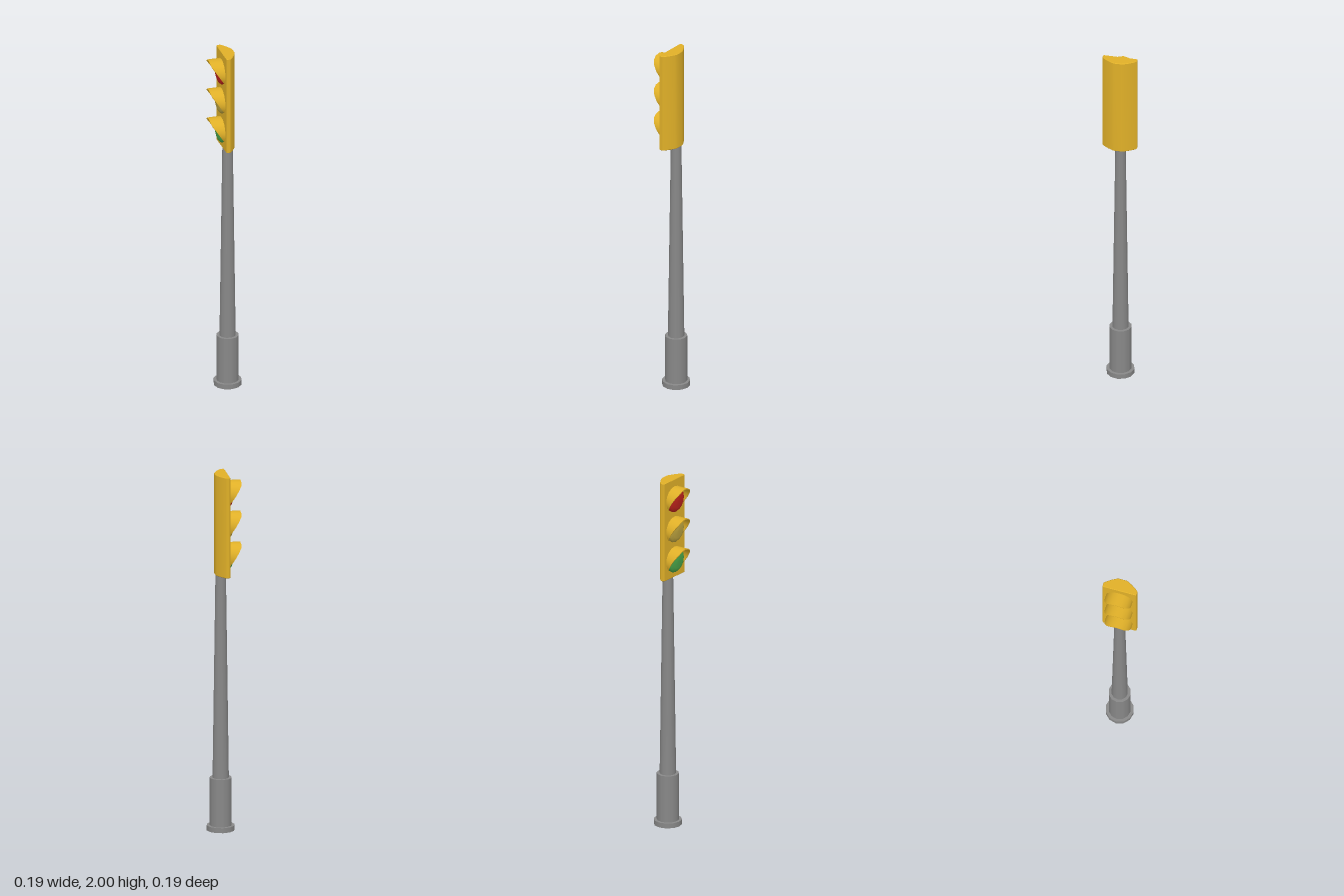
import * as THREE from 'three';
import { toCreasedNormals } from 'three/addons/utils/BufferGeometryUtils.js';

const paint = (name, color, side = THREE.FrontSide) => {
  const m = new THREE.MeshStandardMaterial({ color, side });
  m.name = name;
  return m;
};

// Smooth ribbon joining two rows of points
function strip(a, b) {
  const pos = [], index = [];
  a.forEach((p, i) => {
    pos.push(...p, ...b[i]);
    if (i) {
      const k = 2 * i;
      index.push(k - 2, k - 1, k, k, k - 1, k + 1);
    }
  });
  const g = new THREE.BufferGeometry();
  g.setAttribute('position', new THREE.Float32BufferAttribute(pos, 3));
  g.setIndex(index);
  g.computeVertexNormals();
  return g;
}

export function createModel() {
  const model = new THREE.Group();
  model.name = 'trafficLight';
  const yellow = paint('housing yellow', 0xe0b028, THREE.DoubleSide);
  const grey = paint('pole grey', 0x888888);
  const lensPaints = [
    paint('red lens', 0xc0241c),
    paint('amber lens', 0xbfa53f),
    paint('green lens', 0x4ba84a),
  ];
  const add = (parent, name, geometry, material) => {
    const mesh = new THREE.Mesh(geometry, material);
    mesh.name = name;
    parent.add(mesh);
    return mesh;
  };

  // Foot, sleeve and tapered pole: top radius, bottom radius, bottom y, top y
  [
    ['foot', 0.077, 0.077, 0, 0.028],
    ['sleeve', 0.061, 0.061, 0.028, 0.295],
    ['pole', 0.029, 0.045, 0.295, 1.44],
  ].forEach(([name, top, bottom, y0, y1]) => {
    const part = add(model, name, new THREE.CylinderGeometry(top, bottom, y1 - y0, 12), grey);
    part.position.set(0.015, (y0 + y1) / 2, -0.01);
  });

  // Signal head, facing -x
  const head = new THREE.Group();
  head.name = 'signalHead';
  head.position.z = -0.0015;
  model.add(head);

  // Housing: flat front, rounded back, softened ends
  const half = [[-0.023, 0.091], [-0.019, 0.0955], [0, 0.0955], [0.012, 0.083],
    [0.029, 0.058], [0.041, 0.036], [0.046, 0.022]];
  const outline = [...half.map(([x, z]) => [x, -z]), ...half.slice().reverse()];
  const shape = new THREE.Shape(outline.map(([x, z]) => new THREE.Vector2(x, z)));
  const bevel = 0.003;
  const body = new THREE.ExtrudeGeometry(shape, {
    depth: 0.566 - 2 * bevel, bevelEnabled: true, bevelSegments: 1,
    bevelSize: bevel, bevelThickness: bevel, bevelOffset: -bevel,
  });
  body.rotateX(-Math.PI / 2).translate(0, 1.434 + bevel, 0);
  add(head, 'housing', toCreasedNormals(body, 0.6), yellow);

  // Lens: shallow dome
  const lens = new THREE.LatheGeometry(
    [[0.071, 0.02], [0.071, 0.032], [0.062, 0.041], [0.045, 0.047], [0, 0.05]]
      .map(([r, d]) => new THREE.Vector2(r, d)), 16);
  lens.rotateZ(Math.PI / 2);

  // Visor: tube cut by a slanted plane and open below
  const row = (r, depth) => Array.from({ length: 13 }, (_, i) => {
    const t = (i - 2) * Math.PI / 8;
    const y = Math.sin(t), reach = 0.028 + (0.0745 * y + 0.045) * 0.64;
    return [-(depth ?? Math.max(0.023, Math.min(0.095, reach))), r * y, r * Math.cos(t)];
  });
  const outer = 0.0745, inner = 0.0695;
  const visorParts = {
    visorOutside: strip(row(outer), row(outer, 0.02)),
    visorRim: strip(row(inner), row(outer)),
    visorInside: strip(row(inner, 0.02), row(inner)),
  };

  // Three lamps from top to bottom
  ['red', 'amber', 'green'].forEach((name, i) => {
    const lamp = new THREE.Group();
    lamp.name = name + 'Lamp';
    lamp.position.y = 1.885 - 0.1745 * i;
    head.add(lamp);
    add(lamp, 'lens', lens, lensPaints[i]);
    for (const [part, geometry] of Object.entries(visorParts)) add(lamp, part, geometry, yellow);
  });
  return model;
}
